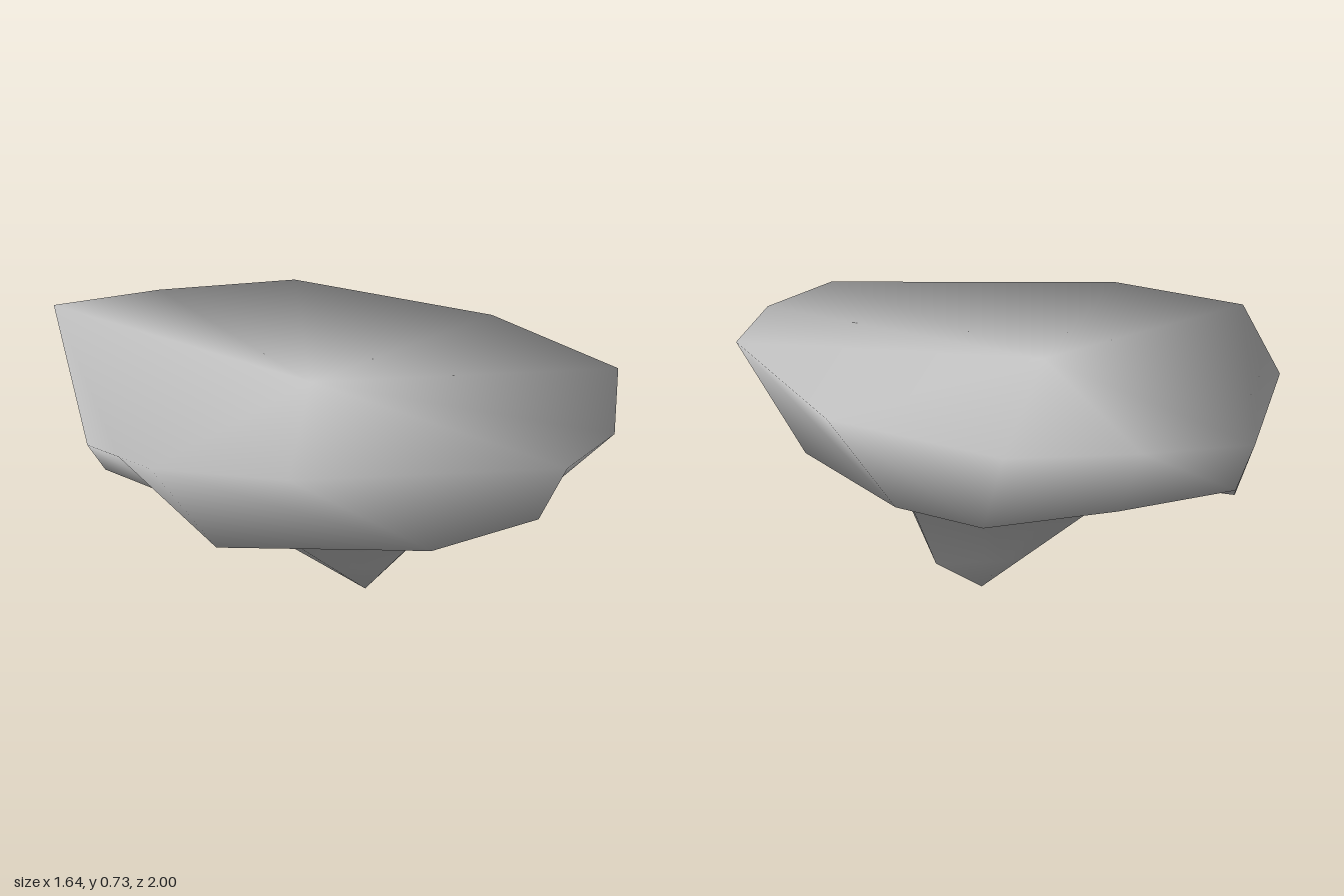
import * as THREE from 'three';

// Cross-sections of the rock, listed from front (+z) round by +x
const rim = [
  [0, 0.65, 1], [0.3, 0.665, 0.94], [0.65, 0.72, 0.67], [0.82, 0.705, 0.04], [0.65, 0.725, -0.59],
  [0.31, 0.73, -0.84], [0, 0.73, -1], [-0.64, 0.6, -0.35], [-0.73, 0.63, -0.155], [-0.82, 0.66, 0.04],
  [-0.64, 0.66, 0.43],
];
const belly = [
  [-0.04, 0.48, 0.92], [0.27, 0.44, 0.7], [0.635, 0.45, 0.36], [0.59, 0.375, -0.01], [0.57, 0.42, -0.4],
  [0.28, 0.49, -0.69], [0.01, 0.56, -0.92], [-0.27, 0.37, -0.58], [-0.4, 0.4, -0.2], [-0.6, 0.365, 0.12],
  [-0.27, 0.39, 0.69],
];
const tip = [0.2, 0, 0.05];
const notch = 7; // first of two rim corners that lie below the edge of the flat top

// Neck: a slightly diamond-shaped oval where the broad body meets the spike
const neck = rim.map(([x, , z], i) => {
  const a = Math.atan2(x + belly[i][0], z + belly[i][2]);
  const f = 1 - 0.1 * Math.abs(Math.sin(2 * a));
  return [0.085 + 0.385 * f * Math.sin(a), 0.325, 0.05 + 0.37 * f * Math.cos(a)];
});

// Spike: narrows straight to the tip, with one bulging ridge on the +x side
const spike = neck.map((p, i) =>
  i === 3 ? [0.38, 0.12, 0.05] : p.map((v, k) => v + (tip[k] - v) * 0.64));

function createRockGeometry() {
  const rings = [rim, belly, neck, spike];
  const n = rim.length;
  const points = [...rings.flat(), [0, 0.705, 0], tip];
  const top = n * rings.length, bottom = top + 1;
  const sides = [];
  for (let i = 0; i < n; i++) {
    const j = (i + 1) % n;
    for (let r = 0; r < rings.length - 1; r++) {
      const u = r * n, l = u + n;
      sides.push(l + i, l + j, u + i, l + j, u + j, u + i);
    }
    const s = (rings.length - 1) * n;
    sides.push(bottom, s + j, s + i);
  }

  // Flat top: a fan that passes over the notch, and two faces down to it
  const edge = rim.map((_, i) => i).filter((i) => i !== notch && i !== notch + 1);
  const cap = edge.flatMap((v, k) => [top, v, edge[(k + 1) % edge.length]]);
  cap.push(notch - 1, notch, notch + 1, notch - 1, notch + 1, notch + 2);

  const geometry = new THREE.BufferGeometry();
  geometry.setAttribute('position', new THREE.Float32BufferAttribute(points.flat(), 3));
  geometry.setIndex(sides);
  geometry.computeVertexNormals();

  // Soft rim: the side normals are lifted a little and run on across the top
  const normals = geometry.attributes.normal;
  for (let i = 0; i < n; i++) normals.setY(i, normals.getY(i) + 0.75);
  normals.setXYZ(top, 0, 1, 0);
  geometry.normalizeNormals();
  geometry.setIndex([...sides, ...cap]);
  return geometry;
}

export function createModel() {
  const group = new THREE.Group();
  group.name = 'floatingRock';
  const material = new THREE.MeshStandardMaterial({ color: 0xcccccc, side: THREE.DoubleSide });
  const rock = new THREE.Mesh(createRockGeometry(), material);
  rock.name = 'rock';
  group.add(rock);
  return group;
}
